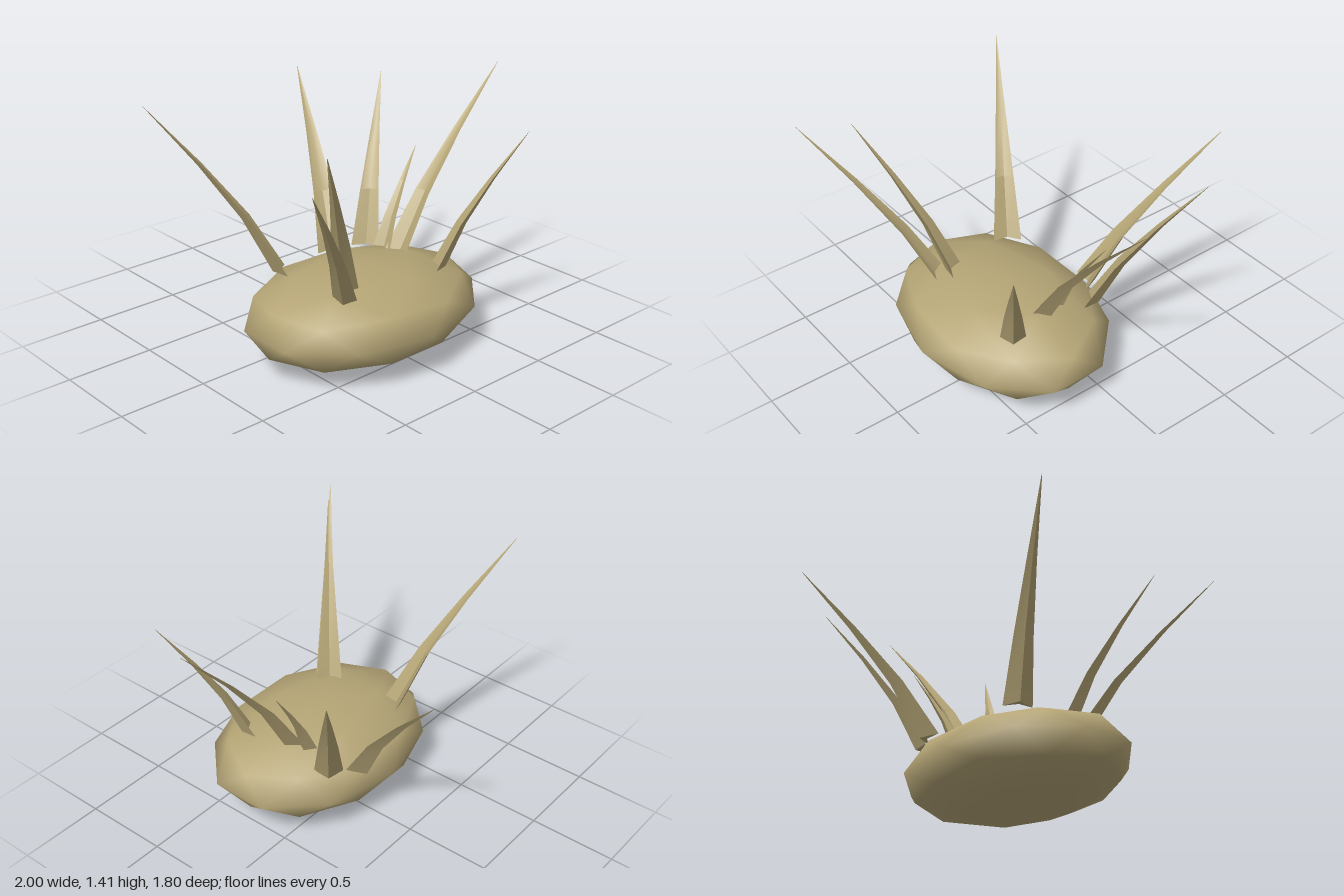
import * as THREE from 'three';
import { toCreasedNormals } from 'three/addons/utils/BufferGeometryUtils.js';

const tan = new THREE.MeshStandardMaterial({ color: 0xb5a576, side: THREE.DoubleSide });
tan.name = 'dryTan';

// Flattened, coarse pebble-like body with smooth normals
function bodyGeometry() {
  const g = new THREE.IcosahedronGeometry(1, 1);
  g.rotateZ(Math.atan(2 / (1 + Math.sqrt(5)))); // one vertex straight up
  g.rotateY(Math.PI);
  const p = g.attributes.position;
  for (let i = 0; i < p.count; i++) p.setX(i, p.getX(i) - 0.07 * p.getY(i) ** 2);
  g.scale(0.725, 0.252, 0.538);
  g.translate(-0.08, 0.254, 0.228);
  return g;
}

// Tapering leaf with a chevron section, bending outward from base to tip
function leafGeometry(base, tip, width) {
  const out = new THREE.Vector3(tip[0] - base[0], 0, tip[2] - base[2]).normalize();
  const side = new THREE.Vector3(-out.z, 0, out.x);
  const section = [[-0.5, 0], [0, 0.22], [0.5, 0], [0, 0.45]]; // side, outward
  const rings = [0, 0.33, 0.66, 1];
  const pos = [], idx = [];
  rings.forEach((t, r) => {
    const bend = t ** 1.22, w = width * Math.max(1 - t, 0.02);
    const centre = new THREE.Vector3(
      THREE.MathUtils.lerp(base[0], tip[0], bend),
      THREE.MathUtils.lerp(base[1], tip[1], t),
      THREE.MathUtils.lerp(base[2], tip[2], bend));
    section.forEach(([s, o], i) => {
      const v = centre.clone().addScaledVector(side, s * w).addScaledVector(out, o * w);
      pos.push(v.x, v.y, v.z);
      if (r === 0) return;
      const a = (r - 1) * 4 + i, b = (r - 1) * 4 + (i + 1) % 4;
      idx.push(a, b, b + 4, a, b + 4, a + 4);
    });
  });
  idx.push(0, 3, 1, 1, 3, 2); // base cap
  const g = new THREE.BufferGeometry();
  g.setAttribute('position', new THREE.Float32BufferAttribute(pos, 3));
  g.setIndex(idx);
  return toCreasedNormals(g, 0.7);
}

// Base point, tip point, base width
const leaves = [
  [[0.09, 0.37, -0.21], [0.41, 1.27, -0.90], 0.18],
  [[0.25, 0.39, -0.115], [0.73, 1.26, -0.505], 0.16],
  [[0.22, 0.45, 0.165], [1.0, 1.41, 0.175], 0.16],
  [[0.21, 0.45, 0.065], [0.53, 0.97, 0.0], 0.115],
  [[0.28, 0.43, 0.415], [0.68, 1.19, 0.70], 0.14],
  [[-0.38, 0.43, 0.42], [-1.0, 1.30, 0.90], 0.13],
  [[-0.325, 0.47, 0.355], [-0.74, 1.37, 0.70], 0.145],
  [[-0.39, 0.45, -0.05], [-0.99, 1.41, -0.435], 0.16],
];

export function createModel() {
  const model = new THREE.Group();
  model.name = 'spikyPlant';
  const body = new THREE.Mesh(bodyGeometry(), tan);
  body.name = 'body';
  model.add(body);
  leaves.forEach(([base, tip, width], i) => {
    const leaf = new THREE.Mesh(leafGeometry(base, tip, width), tan);
    leaf.name = `leaf${i + 1}`;
    model.add(leaf);
  });
  return model;
}
